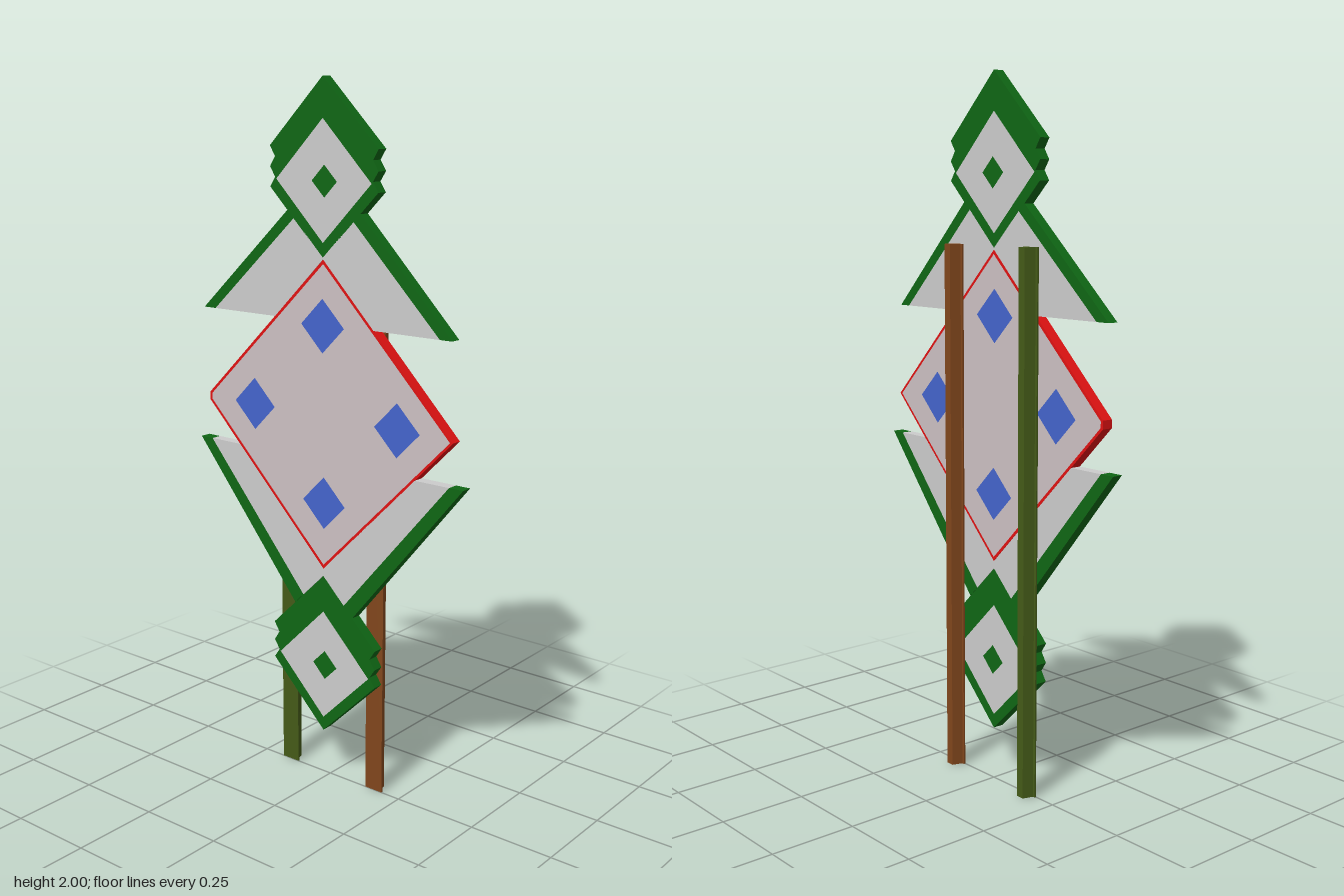
import * as THREE from 'three';

const DEPTH = 0.032;
const mat = (color) => new THREE.MeshStandardMaterial({ color });
const green = mat(0x0f6614), grey = mat(0xcccccc), red = mat(0xe01212), pale = mat(0xccc0c2);
const blue = mat(0x4464cc), olive = mat(0x445a18), brown = mat(0x80461c);

const points = (list) => list.map(([x, y]) => new THREE.Vector2(x, y));
const diamond = (x, y, r, ry = r) => [[x, y - ry], [x + r, y], [x, y + ry], [x - r, y]];

// Flat plate cut from an outline, with optional holes for inlays
function plate(name, outline, material, holes = [], depth = DEPTH) {
  const shape = new THREE.Shape(points(outline));
  holes.forEach((h) => shape.holes.push(new THREE.Path(points(h))));
  const geometry = new THREE.ExtrudeGeometry(shape, { depth, bevelEnabled: false });
  const mesh = new THREE.Mesh(geometry, material);
  mesh.name = name;
  return mesh;
}

// Stacked diamond ornament; y is the centre of its front diamond
function ornament(name, y) {
  const group = new THREE.Group();
  group.name = name;
  const side = [[0.185, -0.022], [0.167, 0.005], [0.185, 0.032], [0.167, 0.06], [0.185, 0.088]];
  const outline = [
    [0, -0.204], ...side, [0, 0.27],
    ...side.slice().reverse().map(([px, py]) => [-px, py]),
  ];
  const field = diamond(0, 0, 0.163);
  const centre = diamond(0.005, 0, 0.043);
  group.add(
    plate('ornamentFrame', outline, green, [field]),
    plate('ornamentField', field, grey, [centre]),
    plate('ornamentCentre', centre, green),
  );
  group.position.y = y;
  return group;
}

// Post with a flanged, tapering section
function post(name, x, material) {
  const half = [[0.029, 0], [0.029, 0.005], [0.022, 0.005], [0.012, 0.035]];
  const section = [...half, ...half.slice().reverse().map(([px, pz]) => [-px, pz])];
  const mesh = plate(name, section, material, [], 1.535);
  mesh.geometry.rotateX(-Math.PI / 2);
  mesh.position.x = x;
  return mesh;
}

export function createModel() {
  const model = new THREE.Group();
  model.name = 'diamondSign';

  // Posts behind the sign
  model.add(post('leftPost', 0.16, brown), post('rightPost', -0.153, olive));

  // Main diamond panel with a thin border and four inlaid squares
  const outer = [[0.001, 0.648], [0.432, 1.083], [0.001, 1.523], [-0.428, 1.103], [-0.428, 1.08]];
  const inner = [[0.001, 0.66], [0.423, 1.083], [0.001, 1.511], [-0.42, 1.1], [-0.42, 1.083]];
  const inlays = [[-0.002, 1.342], [-0.252, 1.092], [0.252, 1.089], [0.002, 0.842]]
    .map(([x, y]) => diamond(x, y, 0.075));
  model.add(plate('panelBorder', outer, red, [inner]), plate('panel', inner, pale, inlays));
  inlays.forEach((d) => model.add(plate('panelInlay', d, blue)));

  // Upper wings: sloping trim and infill above the panel
  model.add(
    plate('upperTrimRight', [[-0.443, 1.353], [-0.4, 1.353], [-0.101, 1.628], [-0.122, 1.65]], green),
    plate('upperTrimLeft', [[0.385, 1.348], [0.423, 1.348], [0.125, 1.652], [0.103, 1.63]], green),
    plate('upperWingRight', [[-0.4, 1.353], [-0.172, 1.353], [0, 1.523], [0, 1.528], [-0.101, 1.628]], grey),
    plate('upperWingLeft', [[0.385, 1.348], [0.103, 1.63], [0, 1.528], [0, 1.523], [0.172, 1.348]], grey),
  );

  // Lower wings: trim and infill below the panel
  for (const s of [-1, 1]) {
    const side = s < 0 ? 'Right' : 'Left';
    const m = (list) => list.map(([x, y]) => [s * x, y]);
    model.add(
      plate('lowerTrim' + side, m([[0.467, 0.963], [0.423, 0.963], [0.074, 0.554], [0.105, 0.524]]), green),
      plate('lowerWing' + side, m([[0.423, 0.963], [0.312, 0.963], [0, 0.648], [0, 0.627], [0.074, 0.554]]), grey),
    );
  }

  // Ornaments at head and foot
  model.add(ornament('topOrnament', 1.73), ornament('bottomOrnament', 0.356));
  return model;
}
